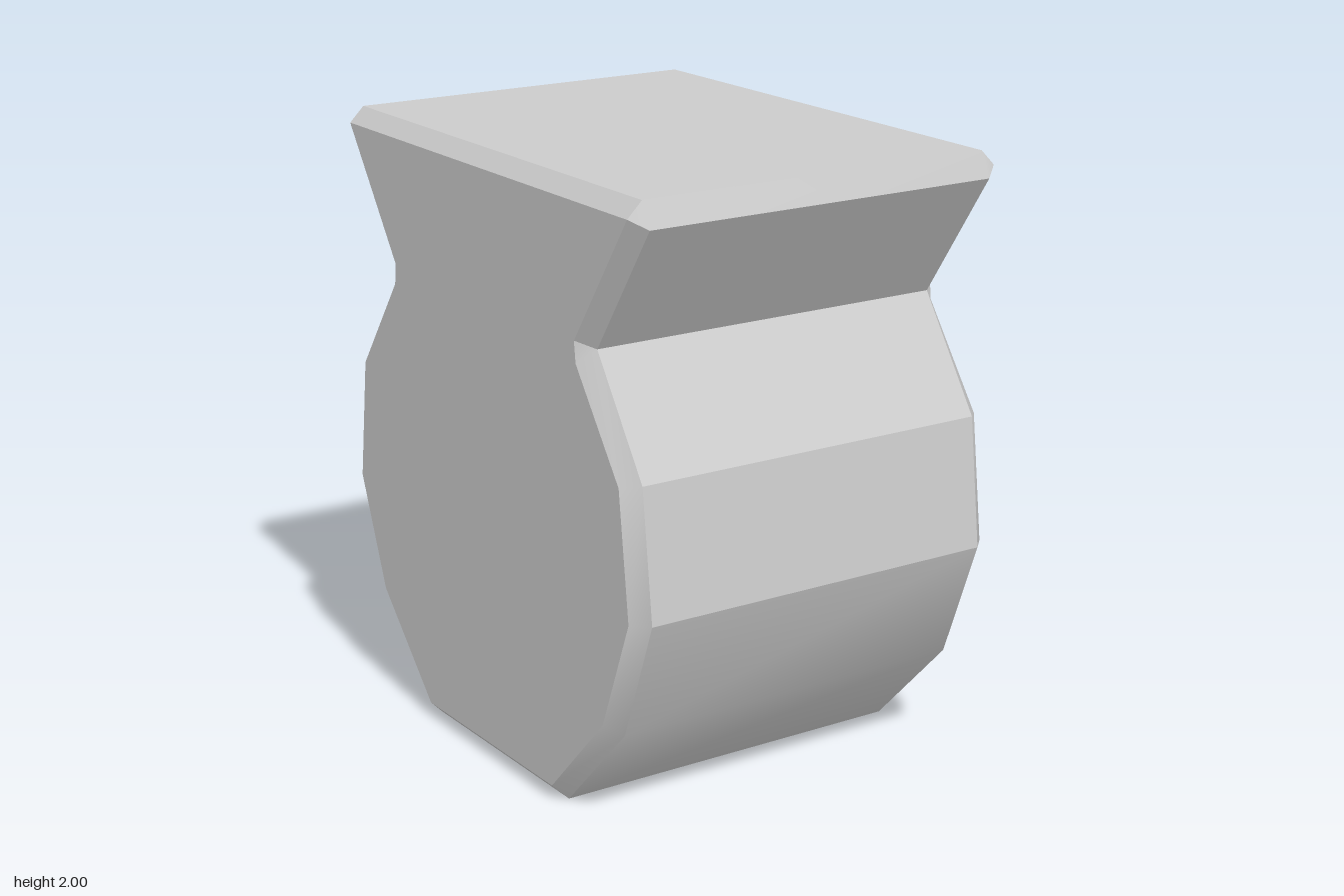
import * as THREE from 'three';
import { toCreasedNormals } from 'three/addons/utils/BufferGeometryUtils.js';

// Front half of the side silhouette, bottom to top: [z, y]
const OUTER = [[0.41, 0], [0.735, 0.335], [0.885, 0.735], [0.835, 1.155],
  [0.595, 1.51], [0.595, 1.51], [0.875, 1.92], [0.835, 2]];
// Matching points on the flat side faces, inside the bevel
const INNER = [[0.39, 0.05], [0.69, 0.365], [0.835, 0.735], [0.785, 1.145],
  [0.555, 1.465], [0.547, 1.533], [0.835, 1.95], [0.835, 1.95]];

// Closed ring at a given x, mirrored front to back
function ring(half, x) {
  const front = half.map(([z, y]) => new THREE.Vector3(x, y, z));
  const back = half.map(([z, y]) => new THREE.Vector3(x, y, -z)).reverse();
  return [...front, ...back];
}

function buildBody() {
  const points = [];
  const triangle = (a, b, c) => {
    if (new THREE.Triangle(a, b, c).getArea() > 1e-6) points.push(a, b, c);
  };
  const quad = (a, b, c, d) => { triangle(a, b, c); triangle(a, c, d); };

  // Bevel, main band, bevel
  const rings = [ring(INNER, -0.665), ring(OUTER, -0.615), ring(OUTER, 0.615), ring(INNER, 0.665)];
  const n = rings[0].length;
  for (let r = 0; r < 3; r++) {
    const a = rings[r], b = rings[r + 1];
    for (let i = 0; i < n; i++) {
      const j = (i + 1) % n;
      quad(a[i], b[i], b[j], a[j]);
    }
  }

  // Flat side faces, as strips from front to back
  const right = rings[0], left = rings[3];
  for (let i = 0; i < INNER.length - 1; i++) {
    const m = n - 1 - i;
    quad(left[i], left[m], left[m - 1], left[i + 1]);
    quad(right[m], right[i], right[i + 1], right[m - 1]);
  }

  const geometry = new THREE.BufferGeometry().setFromPoints(points);
  return toCreasedNormals(geometry, THREE.MathUtils.degToRad(25));
}

export function createModel() {
  const model = new THREE.Group();
  model.name = 'bevelledBlock';
  const body = new THREE.Mesh(buildBody(), new THREE.MeshStandardMaterial({ color: 0xcccccc }));
  body.name = 'body';
  model.add(body);
  return model;
}
